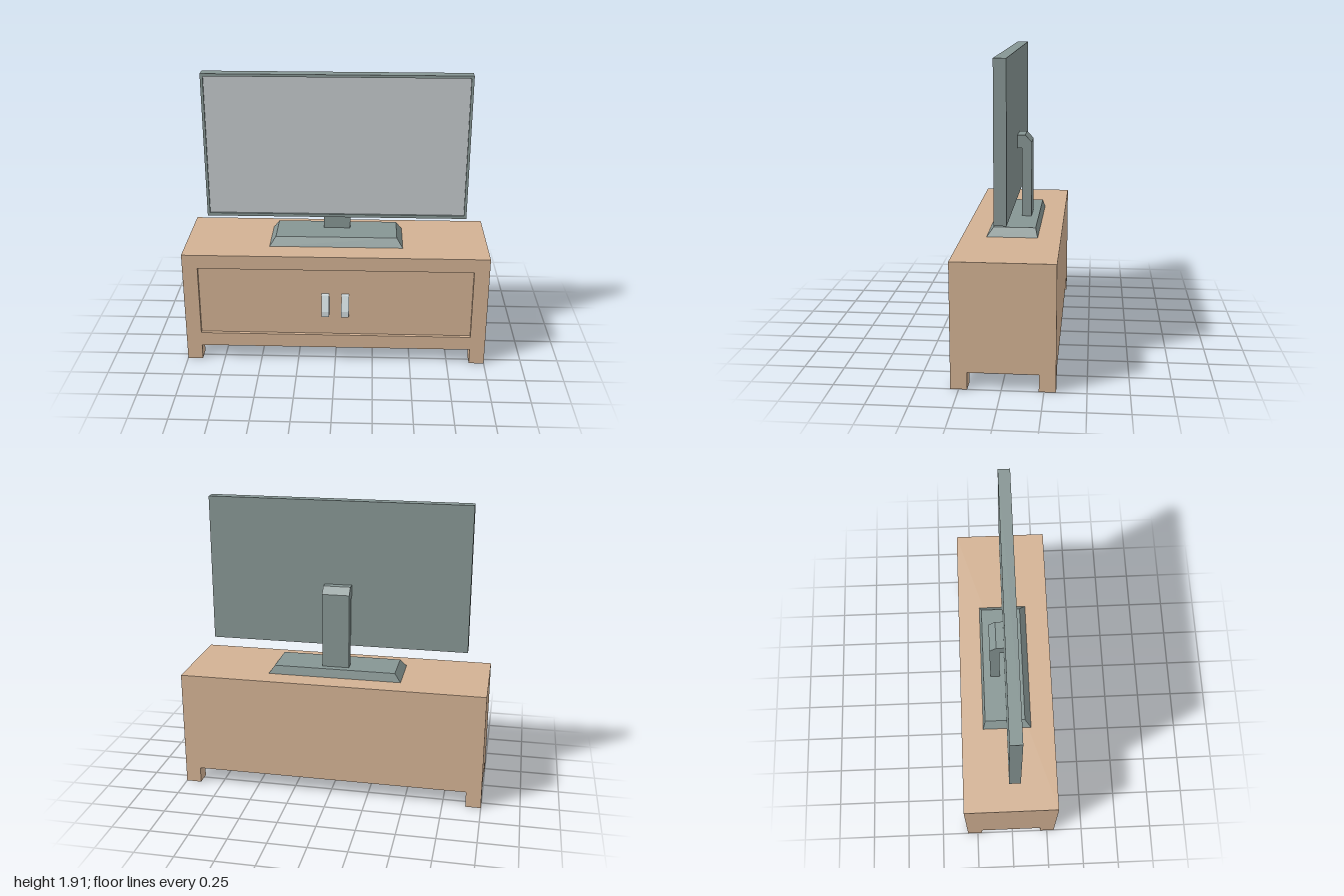
import * as THREE from 'three';
import { mergeGeometries } from 'three/addons/utils/BufferGeometryUtils.js';

const material = (color) => new THREE.MeshStandardMaterial({ color, flatShading: true });

function addMesh(parent, name, geometry, mat) {
  const mesh = new THREE.Mesh(geometry, mat);
  mesh.name = name;
  parent.add(mesh);
  return mesh;
}

// Box given by its limits
function boxBetween(x0, x1, y0, y1, z0, z1) {
  return new THREE.BoxGeometry(x1 - x0, y1 - y0, z1 - z0)
    .translate((x0 + x1) / 2, (y0 + y1) / 2, (z0 + z1) / 2);
}

function rectangle(PathType, hw, y0, y1) {
  const p = new PathType();
  p.moveTo(-hw, y0);
  p.lineTo(hw, y0);
  p.lineTo(hw, y1);
  p.lineTo(-hw, y1);
  p.closePath();
  return p;
}

// Box whose front has a rectangular recess, left open at the recess floor
function recessedBox(hw, y0, y1, back, front, rhw, ry0, ry1, depth) {
  const shell = boxBetween(-hw, hw, y0, y1, back, front);
  const index = [...shell.index.array];
  index.splice(24, 6); // no front face
  shell.setIndex(index);

  const rim = rectangle(THREE.Shape, hw, y0, y1);
  rim.holes.push(rectangle(THREE.Path, rhw, ry0, ry1));
  const face = new THREE.ShapeGeometry(rim).translate(0, 0, front);

  const walls = boxBetween(-rhw, rhw, ry0, ry1, front - depth, front);
  walls.setIndex([...walls.index.array].slice(0, 24).reverse()); // side walls, facing inward
  const parts = [shell, face, walls].map((g) => g.toNonIndexed());
  parts.forEach((g) => g.computeVertexNormals());
  return mergeGeometries(parts);
}

function panel(hw, y0, y1, z) {
  return new THREE.PlaneGeometry(2 * hw, y1 - y0).translate(0, (y0 + y1) / 2, z);
}

// Side profile of [z, y] points, extruded along x and centred
function sideProfile(points, width) {
  const shape = new THREE.Shape(points.map(([z, y]) => new THREE.Vector2(-z, y)));
  return new THREE.ExtrudeGeometry(shape, { depth: width, bevelEnabled: false })
    .translate(0, 0, -width / 2)
    .rotateY(Math.PI / 2);
}

export function createModel() {
  const model = new THREE.Group();
  model.name = 'televisionOnCabinet';
  const wood = material(0xd2b193);
  const casing = material(0x869593);
  const glass = material(0xc3c9cc);
  const metal = material(0xcfdadd);

  // Cabinet with sunken front panel
  const cabinet = new THREE.Group();
  cabinet.name = 'cabinet';
  model.add(cabinet);
  addMesh(cabinet, 'cabinetBody',
    recessedBox(1, 0.105, 0.775, -0.32, 0.3, 0.9, 0.2, 0.68, 0.022), wood);
  addMesh(cabinet, 'doorPanel', panel(0.9, 0.2, 0.68, 0.278), wood);

  // Feet and door handles, mirrored
  const handle = [[0.278, 0.348], [0.323, 0.348], [0.323, 0.388], [0.285, 0.49], [0.278, 0.5]];
  for (const side of [-1, 1]) {
    for (const [name, z] of [['frontFoot', 0.25], ['backFoot', -0.27]]) {
      addMesh(cabinet, name,
        new THREE.BoxGeometry(0.1, 0.105, 0.1).translate(side * 0.95, 0.0525, z), wood);
    }
    addMesh(cabinet, 'doorHandle', sideProfile(handle, 0.05), metal).position.x = side * 0.065;
  }

  // Television
  const television = new THREE.Group();
  television.name = 'television';
  model.add(television);
  addMesh(television, 'screenCasing',
    recessedBox(0.855, 0.953, 1.915, -0.02, 0.055, 0.838, 0.973, 1.898, 0.012), casing);
  addMesh(television, 'screen', panel(0.838, 0.973, 1.898, 0.043), glass);

  // Stand foot: a box tapered towards its top
  const foot = new THREE.BoxGeometry(0.88, 0.055, 0.32).translate(0, 0.8025, -0.015);
  const p = foot.attributes.position;
  for (let i = 0; i < p.count; i++) {
    if (p.getY(i) > 0.8) {
      p.setX(i, Math.sign(p.getX(i)) * 0.4);
      p.setZ(i, p.getZ(i) > 0 ? 0.105 : -0.16);
    }
  }
  foot.computeVertexNormals();
  addMesh(television, 'standFoot', foot, casing);

  // Stand neck, hooked forward into the casing
  addMesh(television, 'standNeck', sideProfile([
    [-0.05, 0.83], [-0.113, 0.83], [-0.113, 1.322], [-0.07, 1.367],
    [-0.02, 1.367], [-0.02, 1.283], [-0.05, 1.283],
  ], 0.178), casing);

  return model;
}
